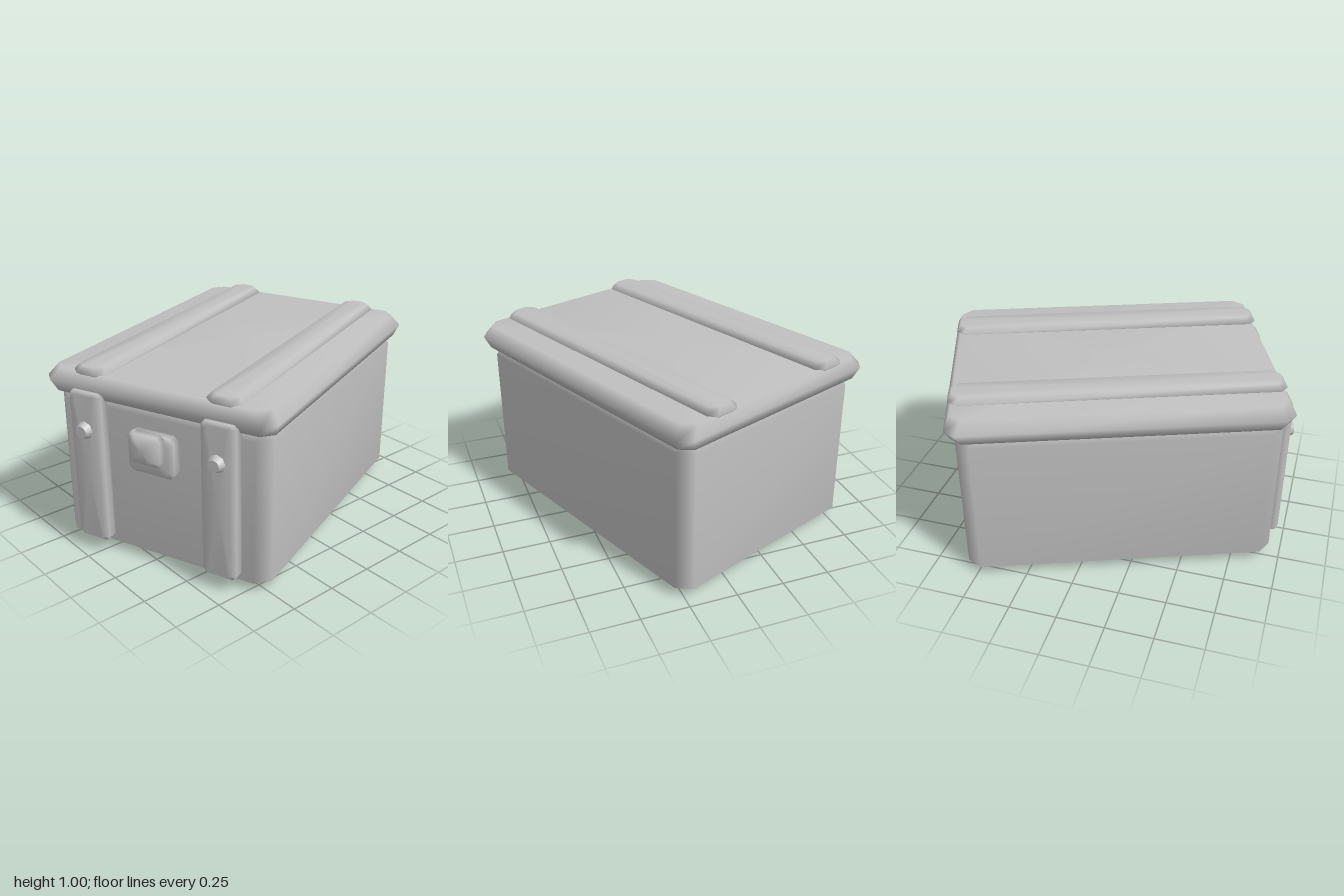
import * as THREE from 'three';

// Corner-cut rectangular block; rings are [height, inset in x, inset in z]
function cutBlock(halfX, halfZ, cut, rings) {
  const pos = [], index = [], n = 8;
  for (const [y, ix, iz] of rings) {
    const x = halfX - ix, z = halfZ - iz;
    const outline = [
      [x, -z + cut], [x, z - cut], [x - cut, z], [-x + cut, z],
      [-x, z - cut], [-x, -z + cut], [-x + cut, -z], [x - cut, -z],
    ];
    for (const [px, pz] of outline) pos.push(px, y, pz);
  }
  const last = rings.length - 1;
  const bottom = pos.length / 3, top = bottom + 1;
  pos.push(0, rings[0][0], 0, 0, rings[last][0], 0);
  for (let j = 0; j < n; j++) {
    const k = (j + 1) % n;
    for (let i = 0; i < last; i++) {
      const a = i * n + j, b = i * n + k;
      index.push(a, a + n, b, b, a + n, b + n);
    }
    index.push(bottom, j, k, top, last * n + k, last * n + j);
  }
  const geo = new THREE.BufferGeometry();
  geo.setAttribute('position', new THREE.Float32BufferAttribute(pos, 3));
  geo.setIndex(index);
  geo.computeVertexNormals();
  return geo;
}

export function createModel() {
  const grey = new THREE.MeshStandardMaterial({ color: 0xc0c0c0 });
  grey.name = 'plain grey';

  const model = new THREE.Group();
  model.name = 'chest';
  const chest = new THREE.Group();
  chest.name = 'turnedChest';
  chest.rotation.y = THREE.MathUtils.degToRad(21);
  model.add(chest);

  const add = (name, geo, x = 0, y = 0, z = 0) => {
    const mesh = new THREE.Mesh(geo, grey);
    mesh.name = name;
    mesh.position.set(x, y, z);
    chest.add(mesh);
    return mesh;
  };
  // Block lying on the latch side, its height pointing outwards (-x)
  const addOnSide = (name, geo, x, y, z) => {
    add(name, geo, x, y, z).rotation.z = Math.PI / 2;
  };

  // Main box, bevelled at top and bottom
  add('body', cutBlock(0.803, 0.594, 0.065, [
    [0, 0.07, 0.07], [0.05, 0, 0], [0.8, 0, 0], [0.845, 0.03, 0.03],
  ]));

  // Lid with a pointed rim
  add('lid', cutBlock(0.845, 0.636, 0.055, [
    [0.84, 0.025, 0.025], [0.9, 0, 0], [0.96, 0.03, 0.045],
  ]));

  const rib = cutBlock(0.832, 0.092, 0.035, [
    [0.943, 0.02, 0.02], [0.965, 0, 0], [0.995, 0.02, 0.025],
  ]);
  const strap = cutBlock(0.405, 0.092, 0.02, [
    [0, 0, 0], [0.05, 0, 0], [0.07, 0.015, 0.02],
  ]);
  const bolt = new THREE.CylinderGeometry(0.032, 0.048, 0.035, 8);

  // Two bands: a rib over the lid, a strap down the side and a bolt
  for (const z of [-0.369, 0.369]) {
    add('lidRib', rib, 0, 0, z);
    addOnSide('sideStrap', strap, -0.8, 0.475, z);
    addOnSide('strapBolt', bolt, -0.885, 0.685, z);
  }

  // Latch plate and its raised catch
  addOnSide('latchPlate', cutBlock(0.105, 0.13, 0.025, [
    [0, 0, 0], [0.05, 0, 0], [0.07, 0.015, 0.02],
  ]), -0.798, 0.63, 0);
  addOnSide('latchCatch', cutBlock(0.077, 0.085, 0.02, [
    [0, 0, 0], [0.04, 0, 0], [0.07, 0.02, 0.035],
  ]), -0.86, 0.677, 0);

  return model;
}
